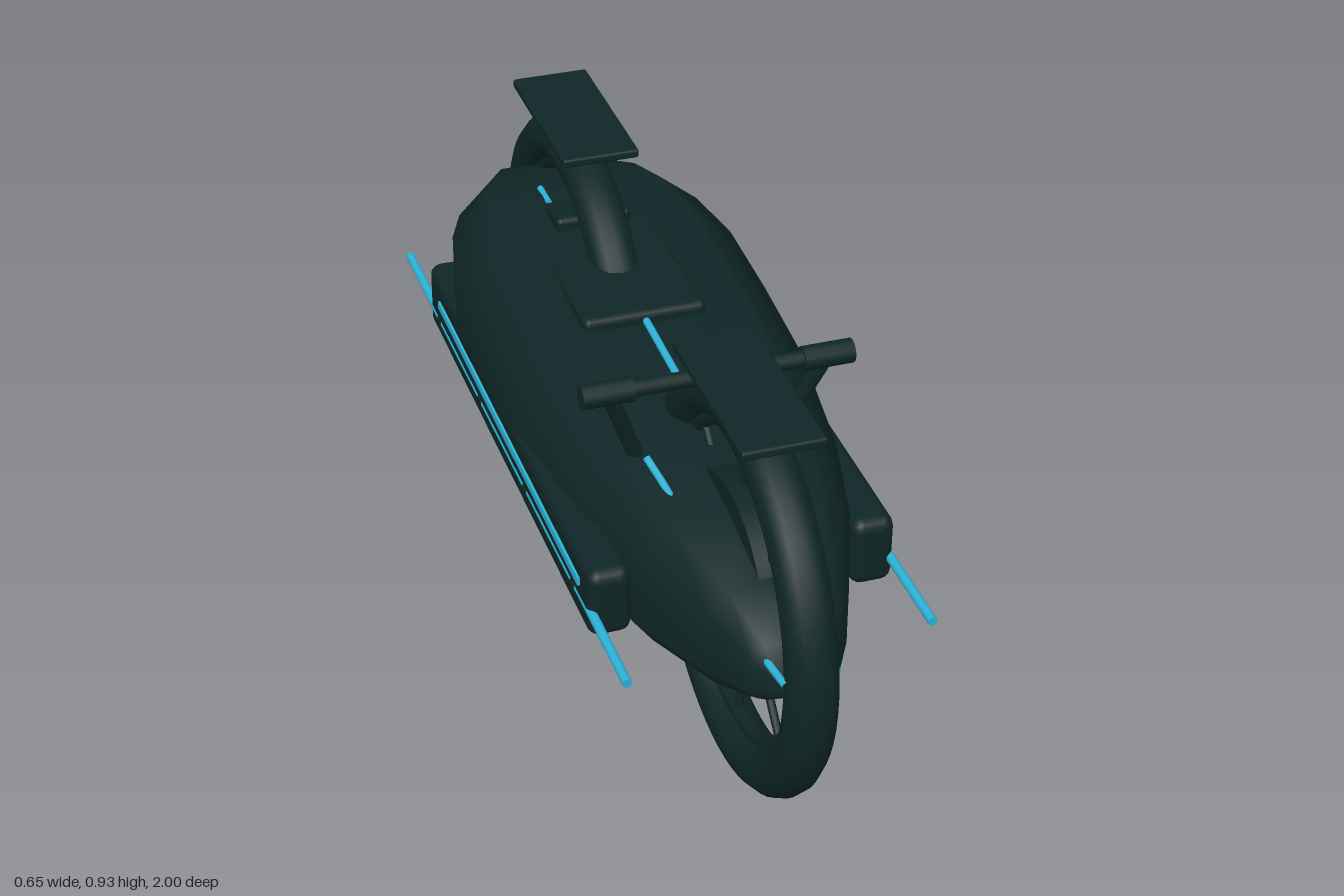
import * as THREE from 'three';
import { RoundedBoxGeometry } from 'three/addons/geometries/RoundedBoxGeometry.js';

export function createModel() {
  const root = new THREE.Group();
  root.name = 'motorcycle';
  const dark = new THREE.MeshStandardMaterial({ color: 0x0f2626 });
  dark.name = 'dark teal';
  const glow = new THREE.MeshStandardMaterial({ color: 0x2cb2d6 });
  glow.name = 'cyan light';

  const V = (x, y, z) => new THREE.Vector3(x, y, z);
  function add(name, geometry, material, parent = root) {
    const mesh = new THREE.Mesh(geometry, material);
    mesh.name = name;
    parent.add(mesh);
    return mesh;
  }
  // round bar between two points
  function bar(name, a, b, radius, material, parent = root) {
    const mesh = add(name, new THREE.CylinderGeometry(radius, radius, a.distanceTo(b), 12), material, parent);
    mesh.position.copy(a).add(b).multiplyScalar(0.5);
    mesh.quaternion.setFromUnitVectors(V(0, 1, 0), b.clone().sub(a).normalize());
    return mesh;
  }
  // rounded block, tilted about x
  function block(name, size, pos, radius, tilt = 0) {
    const mesh = add(name, new RoundedBoxGeometry(...size, 2, radius), dark);
    mesh.position.set(...pos);
    mesh.rotation.x = tilt;
    return mesh;
  }

  // body shell: sections of z, half width, bottom, top
  const sections = [
    [0.9, 0.055, 0.41, 0.465], [0.86, 0.09, 0.38, 0.51], [0.76, 0.145, 0.345, 0.575],
    [0.57, 0.22, 0.32, 0.62], [0.35, 0.275, 0.3, 0.645], [0.05, 0.315, 0.315, 0.672],
    [-0.2, 0.32, 0.345, 0.695], [-0.42, 0.318, 0.37, 0.715], [-0.56, 0.285, 0.39, 0.733],
    [-0.66, 0.243, 0.405, 0.722], [-0.82, 0.143, 0.435, 0.67], [-0.9, 0.08, 0.45, 0.61],
    [-0.945, 0.05, 0.485, 0.56],
  ];
  const ring = [
    [1, -0.55], [1, 0.6], [0.7, 1], [0, 1], [-0.7, 1], [-1, 0.6],
    [-1, -0.55], [-0.86, -0.84], [-0.6, -1], [0, -1], [0.6, -1], [0.86, -0.84],
  ];
  const n = ring.length, pos = [], idx = [];
  for (const [z, w, lo, hi] of sections) {
    for (const [u, v] of ring) pos.push(u * w, (lo + hi) / 2 + v * (hi - lo) / 2, z);
  }
  const last = (sections.length - 1) * n;
  for (let i = 0; i < last; i += n) {
    for (let j = 0; j < n; j++) {
      const k = (j + 1) % n;
      idx.push(i + j, i + n + j, i + k, i + k, i + n + j, i + n + k);
    }
  }
  for (let j = 1; j < n - 1; j++) idx.push(0, j, j + 1, last, last + j + 1, last + j);
  const shell = new THREE.BufferGeometry();
  shell.setAttribute('position', new THREE.Float32BufferAttribute(pos, 3));
  shell.setIndex(idx);
  shell.computeVertexNormals();
  add('bodyShell', shell, dark);

  // wheels: tyre, rim, hub disc and spokes
  for (const [name, z] of [['frontWheel', 0.56], ['rearWheel', -0.56]]) {
    const wheel = new THREE.Group();
    wheel.name = name;
    wheel.position.set(0, 0.442, z);
    wheel.rotation.y = Math.PI / 2;
    root.add(wheel);
    add('tyre', new THREE.TorusGeometry(0.386, 0.053, 12, 64), dark, wheel);
    add('rim', new THREE.TorusGeometry(0.332, 0.02, 8, 64), dark, wheel);
    add('hubDisc', new THREE.CylinderGeometry(0.23, 0.23, 0.07, 40), dark, wheel).rotation.x = Math.PI / 2;
    for (let i = 0; i < 8; i++) {
      const a = i * Math.PI / 4;
      const dir = V(Math.cos(a), Math.sin(a), 0);
      bar('spoke', dir.clone().multiplyScalar(0.2), dir.clone().multiplyScalar(0.34), 0.009, dark, wheel);
    }
  }

  // plates over the wheels, seat and backrest
  block('frontFender', [0.17, 0.02, 0.405], [0, 0.89, 0.573], 0.006, 0.02);
  block('rearFender', [0.17, 0.02, 0.393], [0, 0.917, -0.555], 0.006, 0.02);
  block('seat', [0.27, 0.05, 0.395], [0, 0.688, -0.248], 0.015, 0.025);
  block('backrest', [0.17, 0.04, 0.09], [0, 0.727, -0.46], 0.012);

  // handlebar
  bar('handlebar', V(-0.25, 0.828, 0.4), V(0.25, 0.828, 0.4), 0.017, dark);

  // light strip along the spine
  bar('spineLight', V(0, 0.672, 0.2), V(0, 0.69, -0.08), 0.008, glow);

  for (const s of [-1, 1]) {
    bar('grip', V(s * 0.175, 0.828, 0.4), V(s * 0.28, 0.828, 0.4), 0.025, dark);
    bar('handlebarStrut', V(s * 0.222, 0.82, 0.4), V(s * 0.15, 0.63, 0.345), 0.017, dark);

    // side pod with its light strip
    block('sidePod', [0.09, 0.155, 1.235], [s * 0.275, 0.464, -0.043], 0.025, 0.02);
    const strip = add('sideStrip', new THREE.BoxGeometry(0.009, 0.018, 1.07), glow);
    strip.position.set(s * 0.321, 0.486, -0.025);
    strip.rotation.x = 0.02;

    // long light rod held by clips
    const front = V(s * 0.312, 0.43, 0.79), back = V(s * 0.312, 0.45, -0.87);
    bar('sideRod', front, back, 0.01, glow);
    for (const z of [0.46, 0.12, -0.23, -0.57]) {
      const y = 0.43 + (0.79 - z) * 0.012;
      bar('rodClip', V(s * 0.312, y, z + 0.012), V(s * 0.312, y, z - 0.012), 0.0125, dark);
    }

    // light line that dips through the nose
    const path = new THREE.CatmullRomCurve3([
      V(s * 0.15, 0.668, 0.41), V(s * 0.128, 0.627, 0.48), V(s * 0.1, 0.54, 0.72),
      V(s * 0.06, 0.48, 0.88), V(s * 0.053, 0.48, 0.95),
    ]);
    add('noseLight', new THREE.TubeGeometry(path, 24, 0.008, 8), glow);

    // small tail light just showing on the rear deck
    bar('tailLight', V(s * 0.07, 0.729, -0.53), V(s * 0.07, 0.73, -0.6), 0.007, glow);
  }
  return root;
}
